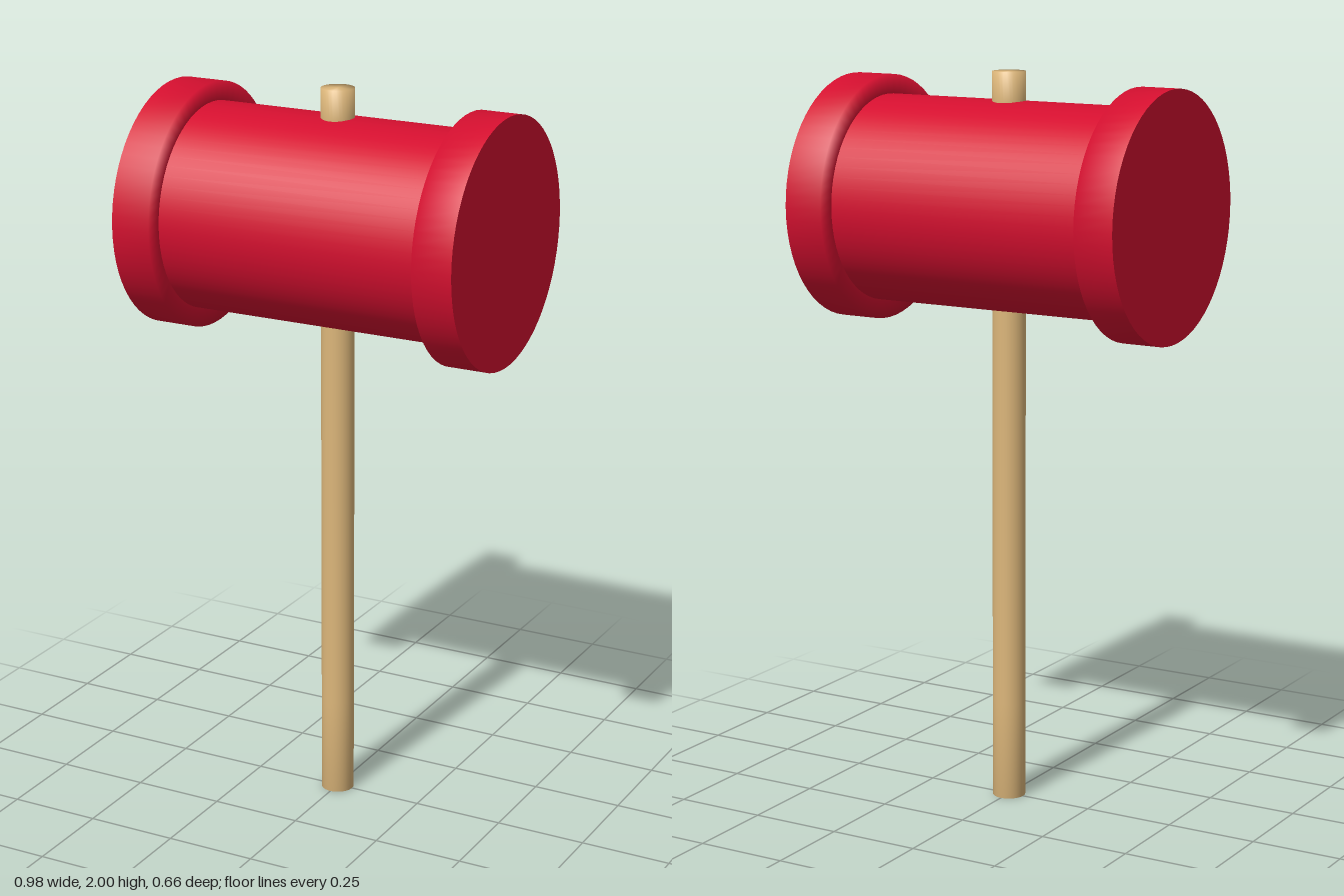
import * as THREE from 'three';

const HEAD_Y = 1.643;

// Revolve a [radius, height] profile, listed from bottom to top
function turned(name, profile, segments, material) {
  const points = profile.map(([r, y]) => new THREE.Vector2(r, y));
  const mesh = new THREE.Mesh(new THREE.LatheGeometry(points, segments), material);
  mesh.name = name;
  return mesh;
}

export function createModel() {
  const red = new THREE.MeshStandardMaterial({ color: 0xd40f2f });
  const wood = new THREE.MeshStandardMaterial({ color: 0xdcb67a });
  const model = new THREE.Group();
  model.name = 'mallet';

  // Handle: softly shaded ends, passing right through the head
  const r = 0.045;
  model.add(turned('handle',
    [[0, 0], [r, 0], [r, 0.27], [r, 1.92], [r, 2], [0, 2]], 32, wood));

  // Head: a barrel lying along x
  const head = new THREE.Group();
  head.name = 'head';
  head.position.y = HEAD_Y;
  model.add(head);

  const barrel = turned('barrel', [[0.28, -0.38], [0.28, 0.38]], 64, red);
  barrel.rotation.z = -Math.PI / 2;
  head.add(barrel);

  // Mirrored collars: soft inner shoulder, crisp flat striking face
  for (const side of [-1, 1]) {
    const collar = new THREE.Group();
    collar.name = side > 0 ? 'leftCollar' : 'rightCollar';
    collar.rotation.z = -side * Math.PI / 2;
    collar.add(
      turned('collarRim', [[0.28, 0.38], [0.332, 0.38], [0.332, 0.49]], 64, red),
      turned('strikingFace', [[0.332, 0.49], [0, 0.49]], 64, red),
    );
    head.add(collar);
  }

  return model;
}
